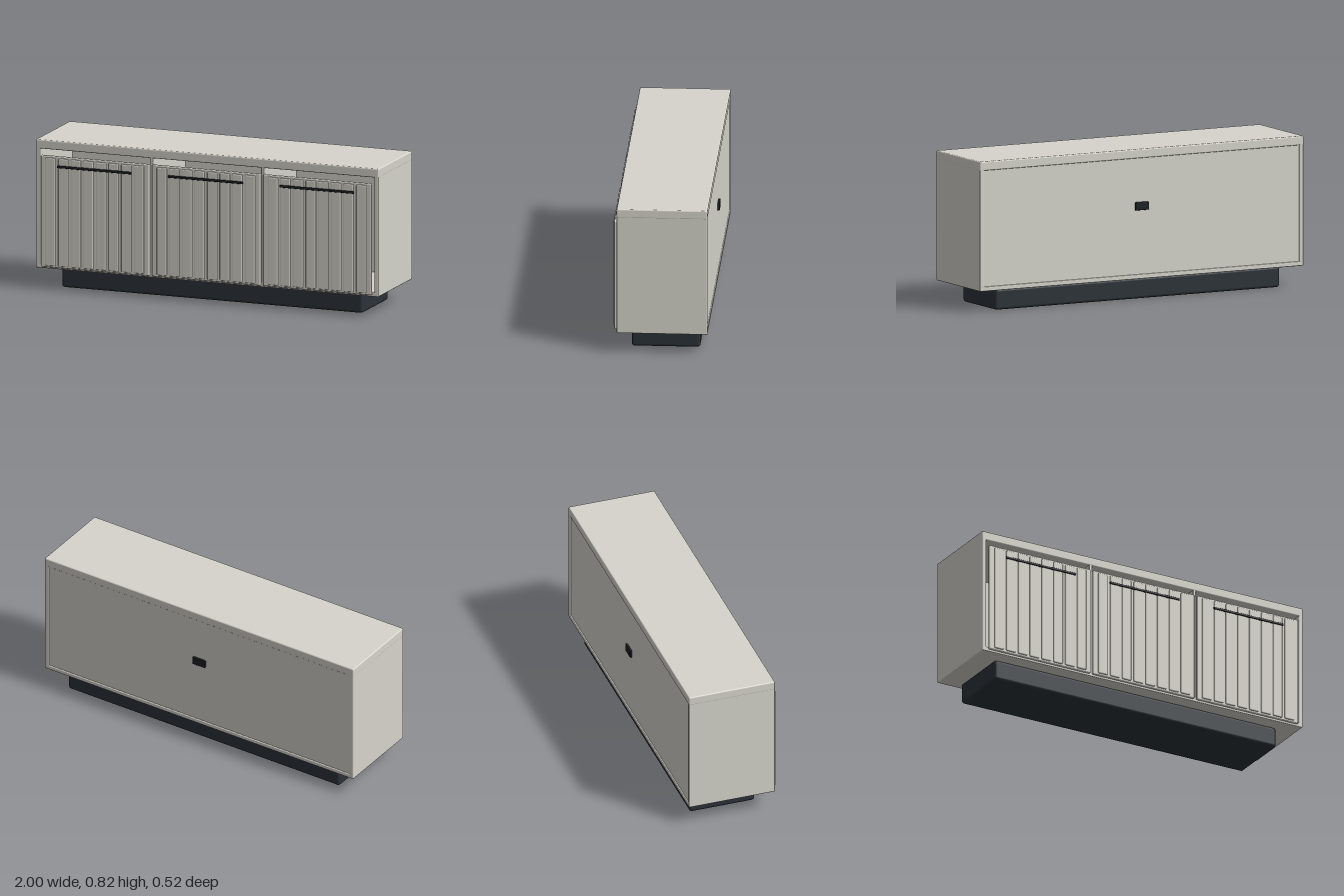
import * as THREE from 'three';
import { RoundedBoxGeometry } from 'three/addons/geometries/RoundedBoxGeometry.js';

const shell = new THREE.MeshStandardMaterial({ color: 0xd6d4cb });
const plinthMat = new THREE.MeshStandardMaterial({ color: 0x2b3238 });
const metal = new THREE.MeshStandardMaterial({ color: 0x1c2024 });

// Soft-edged box given by its [min, max] extent on each axis
function block(parent, name, [x0, x1], [y0, y1], [z0, z1], radius, material = shell) {
  const geometry = new RoundedBoxGeometry(x1 - x0, y1 - y0, z1 - z0, 3, radius);
  const mesh = new THREE.Mesh(geometry, material);
  mesh.name = name;
  mesh.position.set((x0 + x1) / 2, (y0 + y1) / 2, (z0 + z1) / 2);
  parent.add(mesh);
  return mesh;
}

// Door panel with vertical slats and a slim bar handle
function makeDoor(x) {
  const door = new THREE.Group();
  door.name = 'door';
  block(door, 'doorPanel', [-0.316, 0.316], [0.125, 0.743], [0.234, 0.252], 0.006);
  const count = 8, pitch = 0.0735, half = 0.029;
  for (let i = 0; i < count; i++) {
    const c = (i - (count - 1) / 2) * pitch;
    block(door, 'slat', [c - half, c + half], [0.135, 0.732], [0.244, 0.259], 0.006);
  }
  block(door, 'handle', [-0.217, 0.217], [0.681, 0.695], [0.253, 0.263], 0.004, metal);
  door.position.x = x;
  return door;
}

export function createModel() {
  const model = new THREE.Group();
  model.name = 'sideboard';

  // Recessed plinth
  block(model, 'plinth', [-0.878, 0.878], [0, 0.115], [-0.209, 0.163], 0.016, plinthMat);

  // Hollow carcass
  const depth = [-0.255, 0.237];
  block(model, 'top', [-1, 1], [0.775, 0.825], depth, 0.007);
  block(model, 'bottom', [-0.998, 0.998], [0.115, 0.14], depth, 0.005);
  for (const s of [-1, 1]) {
    const side = block(model, 'sidePanel', [-0.0125, 0.0125], [0.115, 0.795], depth, 0.006);
    side.position.x = s * 0.9865;
    const divider = block(model, 'divider', [-0.009, 0.009], [0.125, 0.785], [-0.24, 0.236], 0.003);
    divider.position.x = s * 0.324;
  }

  // Inset back with its small cable plate
  block(model, 'backPanel', [-0.98, 0.98], [0.13, 0.785], [-0.249, -0.234], 0.002);
  block(model, 'cablePlate', [-0.04, 0.04], [0.491, 0.535], [-0.261, -0.246], 0.003, metal);

  for (const x of [-0.648, 0, 0.648]) model.add(makeDoor(x));
  return model;
}
